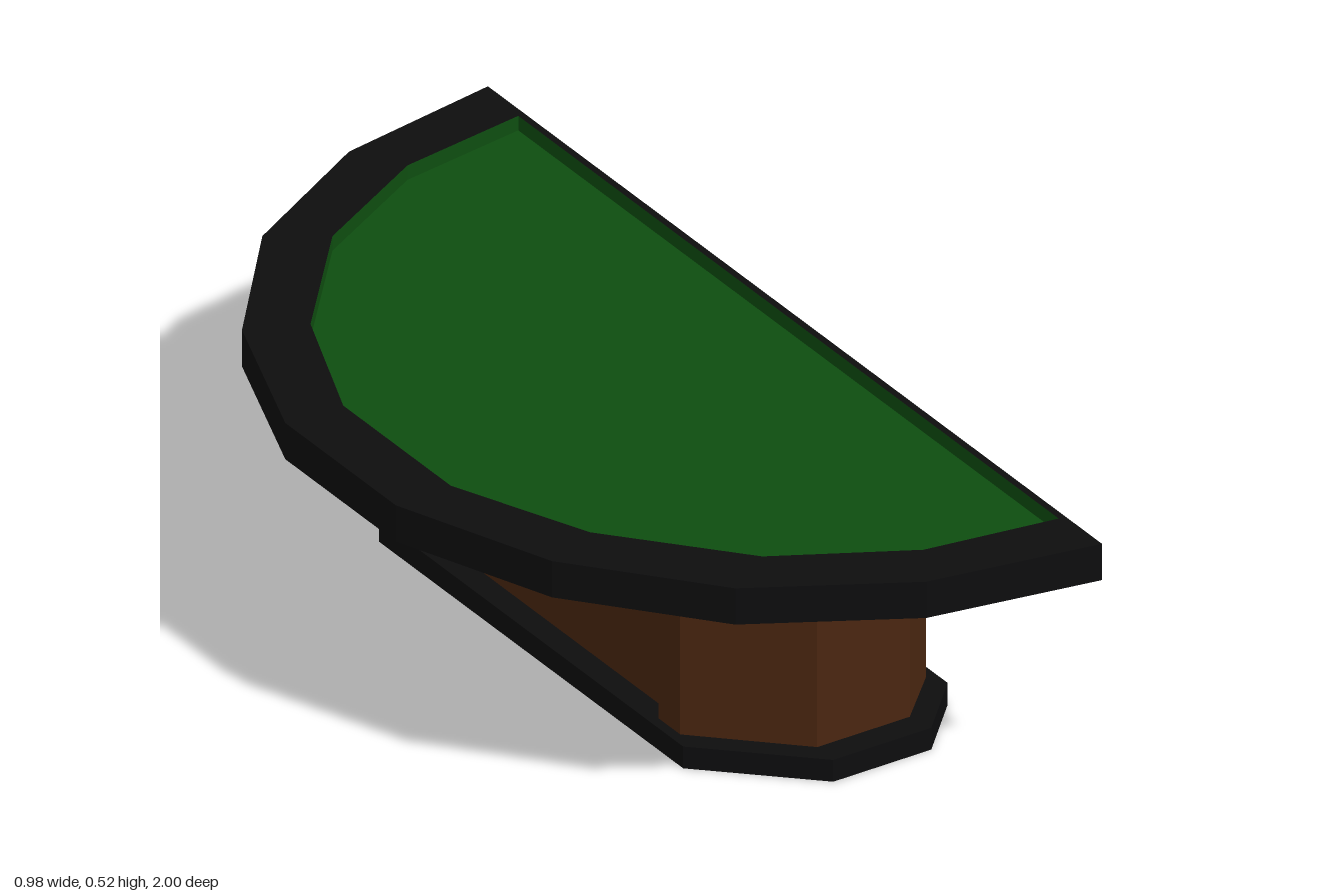
import * as THREE from 'three';

const black = new THREE.MeshStandardMaterial({ color: 0x0d0d0e, flatShading: true });
black.name = 'blackTrim';
const green = new THREE.MeshStandardMaterial({ color: 0x0e4d10, flatShading: true });
green.name = 'greenFelt';
const wood = new THREE.MeshStandardMaterial({ color: 0x4a2610, flatShading: true });
wood.name = 'darkWood';

// Half outlines as [x, z], from the straight side (+x) round to the curved side
const TOP = [[0.49, 1], [0.15, 0.94], [-0.15, 0.77], [-0.37, 0.505], [-0.492, 0.18]];
const FELT = [[0.476, 0.88], [0.21, 0.84], [-0.045, 0.7], [-0.255, 0.455], [-0.37, 0.175]];
const PEDESTAL = [[0.425, 0.525], [0.32, 0.63], [0.12, 0.63], [-0.06, 0.455], [-0.06, 0.385], [-0.03, 0.385]];
const BASE = [[0.445, 0.565], [0.33, 0.685], [0.118, 0.685], [-0.08, 0.495]];

// Mirrors a half outline across z = 0
function outline(half) {
  const mirrored = half.map(([x, z]) => [x, -z]).reverse();
  return [...half, ...mirrored].map(([x, z]) => new THREE.Vector2(x, z));
}

// Vertical prism from a half outline, between two heights
function prism(half, y0, y1, holeHalf) {
  const shape = new THREE.Shape(outline(half));
  if (holeHalf) shape.holes.push(new THREE.Path(outline(holeHalf)));
  const geometry = new THREE.ExtrudeGeometry(shape, { depth: y1 - y0, bevelEnabled: false });
  geometry.rotateX(-Math.PI / 2);
  geometry.translate(0, y0, 0);
  return geometry;
}

function part(name, geometry, material) {
  const mesh = new THREE.Mesh(geometry, material);
  mesh.name = name;
  return mesh;
}

export function createModel() {
  const model = new THREE.Group();
  model.name = 'cardTable';

  // Foot and pedestal, with a shallow recess on the curved side
  model.add(part('basePlate', prism(BASE, 0, 0.045), black));
  model.add(part('pedestal', prism(PEDESTAL, 0.045, 0.445), wood));

  // Table board
  model.add(part('tableBoard', prism(TOP, 0.45, 0.492), black));

  // Raised rim: outside black, inner walls lined in felt
  const rim = prism(TOP, 0.492, 0.525, FELT);
  const sides = rim.groups[1];
  const outer = TOP.length * 2 * 6;
  rim.clearGroups();
  rim.addGroup(0, sides.start + outer, 0);
  rim.addGroup(sides.start + outer, sides.count - outer, 1);
  model.add(part('rim', rim, [black, green]));

  // Playing surface
  model.add(part('feltSurface', prism(FELT, 0.492, 0.495), green));

  return model;
}
